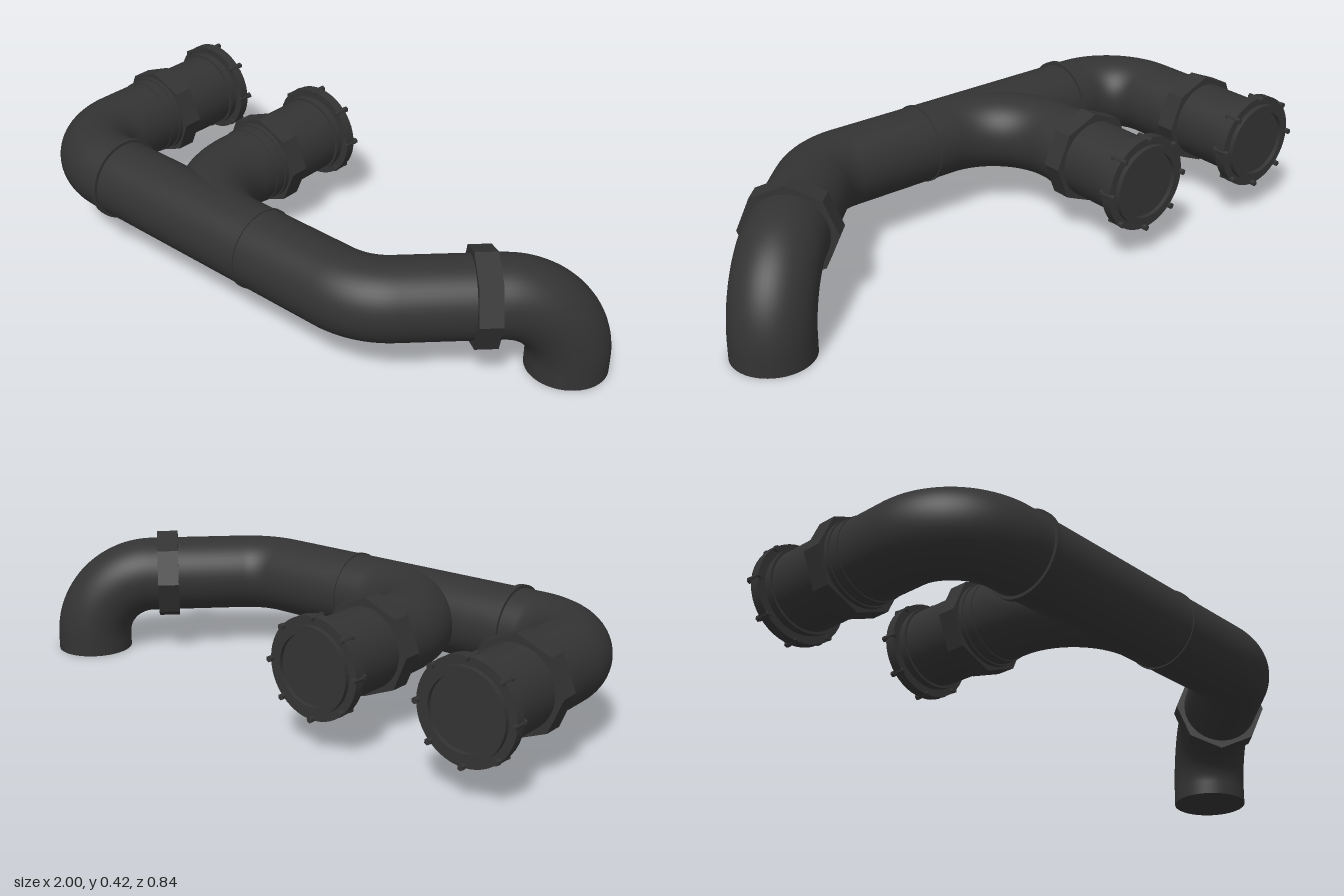
import * as THREE from 'three';

const R = 0.126;      // pipe radius
const Y = 0.257;      // height of the pipe axis
const dark = new THREE.MeshStandardMaterial({ color: 0x333333 });
const facetedDark = new THREE.MeshStandardMaterial({ color: 0x333333, flatShading: true });
const v3 = (x, y, z) => new THREE.Vector3(x, y, z);

// Circular arc that leaves point a along d1 and ends along d2
class BendCurve extends THREE.Curve {
  constructor(a, d1, d2, radius) {
    super();
    this.angle = d1.angleTo(d2);
    this.radius = radius;
    this.along = d1;
    this.inward = d2.clone().addScaledVector(d1, -d1.dot(d2)).normalize();
    this.centre = a.clone().addScaledVector(this.inward, radius);
  }
  getPoint(t, target = new THREE.Vector3()) {
    const a = t * this.angle;
    return target.copy(this.centre)
      .addScaledVector(this.along, this.radius * Math.sin(a))
      .addScaledVector(this.inward, -this.radius * Math.cos(a));
  }
}

// Straight runs joined by rounded bends
function pipePath(points, radii) {
  const path = new THREE.CurvePath();
  let from = points[0];
  for (let i = 1; i < points.length - 1; i++) {
    const d1 = points[i].clone().sub(points[i - 1]).normalize();
    const d2 = points[i + 1].clone().sub(points[i]).normalize();
    const cut = radii[i - 1] * Math.tan(d1.angleTo(d2) / 2);
    const start = points[i].clone().addScaledVector(d1, -cut);
    path.add(new THREE.LineCurve3(from, start));
    path.add(new BendCurve(start, d1, d2, radii[i - 1]));
    from = points[i].clone().addScaledVector(d2, cut);
  }
  path.add(new THREE.LineCurve3(from, points[points.length - 1]));
  return path;
}

function add(parent, name, geometry, material = dark) {
  const mesh = new THREE.Mesh(geometry, material);
  mesh.name = name;
  parent.add(mesh);
  return mesh;
}

function addPipe(parent, name, points, radii, segments) {
  return add(parent, name, new THREE.TubeGeometry(pipePath(points, radii), segments, R, 48));
}

// Collar around an axis, centred on a point
function addRing(parent, name, position, axis, radius, width, sides = 48) {
  const ring = add(parent, name, new THREE.CylinderGeometry(radius, radius, width, sides),
    sides < 12 ? facetedDark : dark);
  ring.position.copy(position);
  ring.quaternion.setFromUnitVectors(v3(0, 1, 0), axis);
  return ring;
}

// Octagonal nut and bolted flange at the open end of an inlet
function makeInletFittings(name, x) {
  const group = new THREE.Group();
  group.name = name;
  group.position.set(x, Y, 0);
  const axis = v3(0, 0, -1);
  addRing(group, 'sleeve', v3(0, 0, -0.075), axis, 0.129, 0.05);
  addRing(group, 'nutCollar', v3(0, 0, -0.093), axis, 0.133, 0.016);
  addRing(group, 'unionNut', v3(0, 0, -0.133), axis, 0.153, 0.064, 8);
  addRing(group, 'flangeCollar', v3(0, 0, -0.348), axis, 0.134, 0.015);
  addRing(group, 'flange', v3(0, 0, -0.387), axis, 0.155, 0.033);

  // Raised lip with a shallow recessed face
  const profile = [[0.13, 0.36], [0.13, 0.42], [0.108, 0.42], [0.108, 0.406], [0, 0.406]];
  const lip = add(group, 'endLip', new THREE.LatheGeometry(
    profile.map(([r, y]) => new THREE.Vector2(r, y)), 48),
    new THREE.MeshStandardMaterial({ color: 0x333333, side: THREE.DoubleSide, flatShading: true }));
  lip.rotation.x = -Math.PI / 2;

  // Bolts through the flange
  for (let i = 0; i < 8; i++) {
    const a = i * Math.PI / 4;
    const bx = 0.15 * Math.cos(a), by = 0.15 * Math.sin(a);
    addRing(group, 'bolt', v3(bx, by, -0.391), axis, 0.008, 0.058, 8);
    addRing(group, 'boltHead', v3(bx, by, -0.413), axis, 0.01, 0.012, 6);
    addRing(group, 'boltNut', v3(bx, by, -0.366), axis, 0.01, 0.009, 6);
  }
  return group;
}

export function createModel() {
  const model = new THREE.Group();
  model.name = 'pipework';
  const leftX = -0.84, branchX = -0.33, mainZ = 0.28;
  const outX = 0.872, outZ = -0.157;

  // Main run: inlet, quarter bend, long run, 45 degree bend, downward elbow
  addPipe(model, 'mainPipe', [
    v3(leftX, Y, -0.4), v3(leftX, Y, mainZ), v3(outX + outZ - mainZ, Y, mainZ),
    v3(outX, Y, outZ), v3(outX, 0, outZ),
  ], [0.2, 0.23, 0.21], 260);

  // Swept branch merging into the main run
  addPipe(model, 'branchPipe', [
    v3(branchX, Y, -0.4), v3(branchX, Y, mainZ), v3(0.04, Y, mainZ),
  ], [0.28], 100);

  // Closed outlet
  const cap = add(model, 'outletCap', new THREE.CircleGeometry(R, 48));
  cap.position.set(outX, 0, outZ);
  cap.rotation.x = Math.PI / 2;

  // Joint rings on the main run
  const alongX = v3(1, 0, 0);
  addRing(model, 'jointRing', v3(-0.578, Y, mainZ), alongX, 0.136, 0.016);
  addRing(model, 'seamRing', v3(0.042, Y, mainZ), alongX, 0.13, 0.008);

  // Nut ahead of the outlet elbow
  const diagonal = v3(1, 0, -1).normalize();
  addRing(model, 'outletNut', v3(0.684, Y, 0.031), diagonal, 0.153, 0.07, 8);

  model.add(makeInletFittings('leftInletFittings', leftX));
  model.add(makeInletFittings('branchInletFittings', branchX));
  return model;
}
